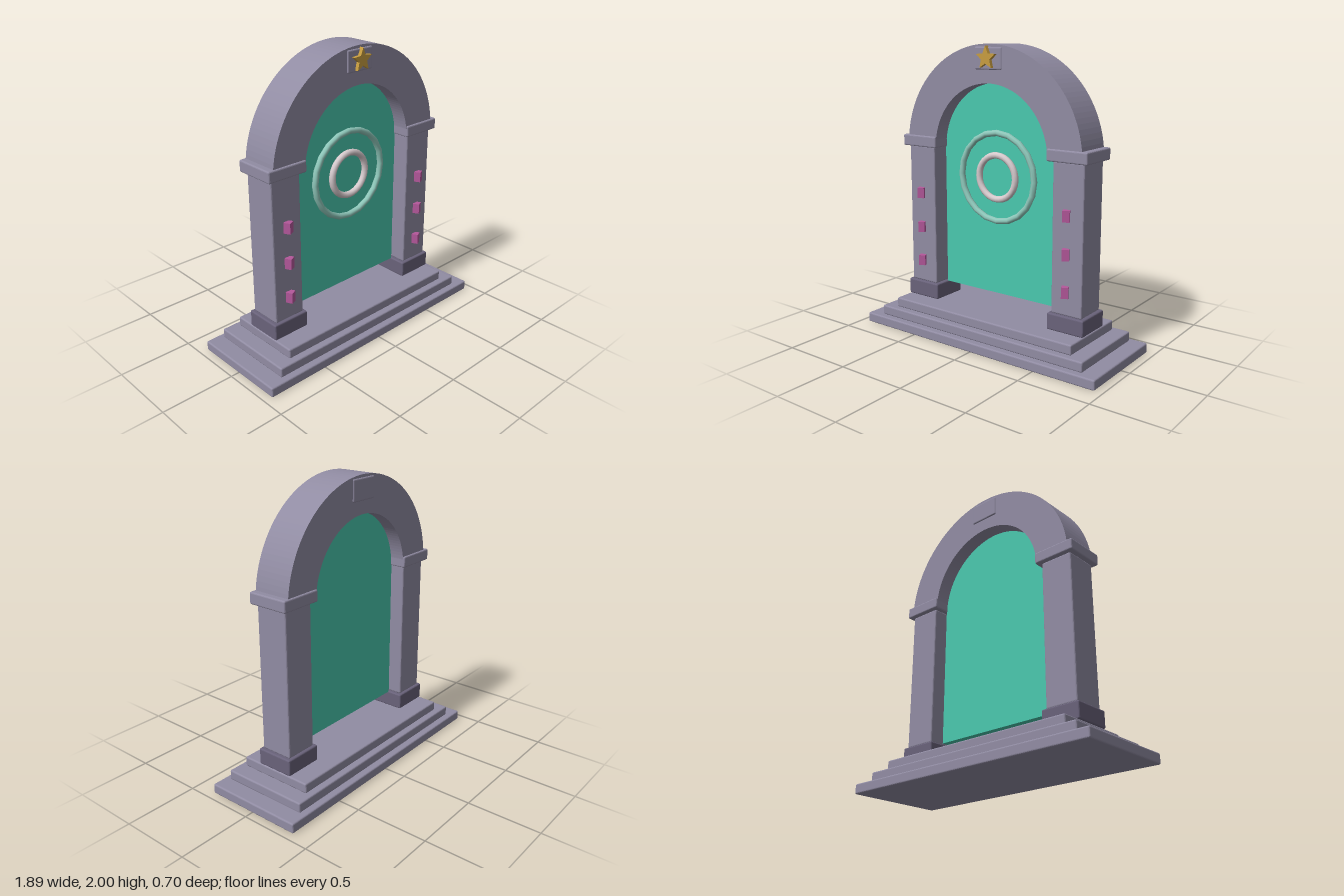
import * as THREE from 'three';
import { RoundedBoxGeometry } from 'three/addons/geometries/RoundedBoxGeometry.js';

function material(name, color, flat = false) {
  const m = new THREE.MeshStandardMaterial({ color });
  m.name = name;
  m.flatShading = flat;
  return m;
}

export function createModel() {
  const group = new THREE.Group();
  const stone = material('stone', 0x918ca3, true);
  const darkStone = material('dark stone', 0x69627a, true);
  const portalTeal = material('portal teal', 0x4ac8ae);
  const paleTeal = material('pale teal', 0x8fc8bb);
  const paleRose = material('pale rose', 0xd6cacd);
  const gemPink = material('gem pink', 0xb4589b, true);
  const gold = material('gold', 0xc79d40);

  const add = (name, geometry, mat, x = 0, y = 0, z = 0) => {
    const mesh = new THREE.Mesh(geometry, mat);
    mesh.name = name;
    mesh.position.set(x, y, z);
    group.add(mesh);
    return mesh;
  };
  // Softly bevelled block from its bottom and top heights
  const block = (name, mat, x, y0, y1, w, d) =>
    add(name, new RoundedBoxGeometry(w, y1 - y0, d, 2, 0.01), mat, x, (y0 + y1) / 2, 0);
  const extrude = (shape, depth) =>
    new THREE.ExtrudeGeometry(shape, { depth, bevelEnabled: false, curveSegments: 32 });

  // Stepped plinth
  [[1.89, 0.7], [1.67, 0.615], [1.46, 0.53]].forEach(([w, d], i) =>
    block(`step${i + 1}`, stone, 0, i * 0.068, (i + 1) * 0.068, w, d));

  // Columns with footing, capital and gems
  for (const [side, s] of [['left', 1], ['right', -1]]) {
    block(`${side}Footing`, darkStone, s * 0.597, 0.205, 0.317, 0.268, 0.262);
    block(`${side}Pillar`, stone, s * 0.597, 0.317, 1.3, 0.225, 0.228);
    block(`${side}Capital`, stone, s * 0.597, 1.297, 1.375, 0.292, 0.288);
    [0.48, 0.724, 0.97].forEach((y, i) => {
      const gem = add(`${side}Gem${i + 1}`, new THREE.BoxGeometry(0.046, 0.073, 0.046),
        gemPink, s * 0.597, y, 0.129);
      gem.rotation.y = 0.44;
    });
  }

  // Half-round arch
  const springY = 1.297;
  const archShape = new THREE.Shape();
  archShape.absarc(0, 0, 0.704, 0, Math.PI, false);
  archShape.absarc(0, 0, 0.455, Math.PI, 0, true);
  add('arch', extrude(archShape, 0.264), stone, 0, springY, -0.132);

  // Keystone and star
  block('keystone', stone, 0, 1.838, 1.982, 0.212, 0.28);
  const starShape = new THREE.Shape();
  for (let i = 0; i < 10; i++) {
    const r = i % 2 ? 0.035 : 0.077;
    const a = Math.PI / 2 + (i * Math.PI) / 5;
    starShape[i ? 'lineTo' : 'moveTo'](r * Math.cos(a), r * Math.sin(a));
  }
  starShape.closePath();
  add('star', extrude(starShape, 0.03), gold, 0, 1.913, 0.135);

  // Portal panel filling the opening
  const panel = new THREE.Shape();
  panel.moveTo(-0.458, 0.32);
  panel.lineTo(0.458, 0.32);
  panel.lineTo(0.458, springY);
  panel.absarc(0, springY, 0.458, 0, Math.PI, false);
  panel.closePath();
  add('portal', extrude(panel, 0.05), portalTeal, 0, 0, -0.03);

  // Concentric rings on the portal
  add('outerRing', new THREE.TorusGeometry(0.297, 0.021, 8, 20), paleTeal, 0, 1.13, 0.04);
  add('innerRing', new THREE.TorusGeometry(0.148, 0.022, 10, 32), paleRose, 0, 1.13, 0.04);

  return group;
}
